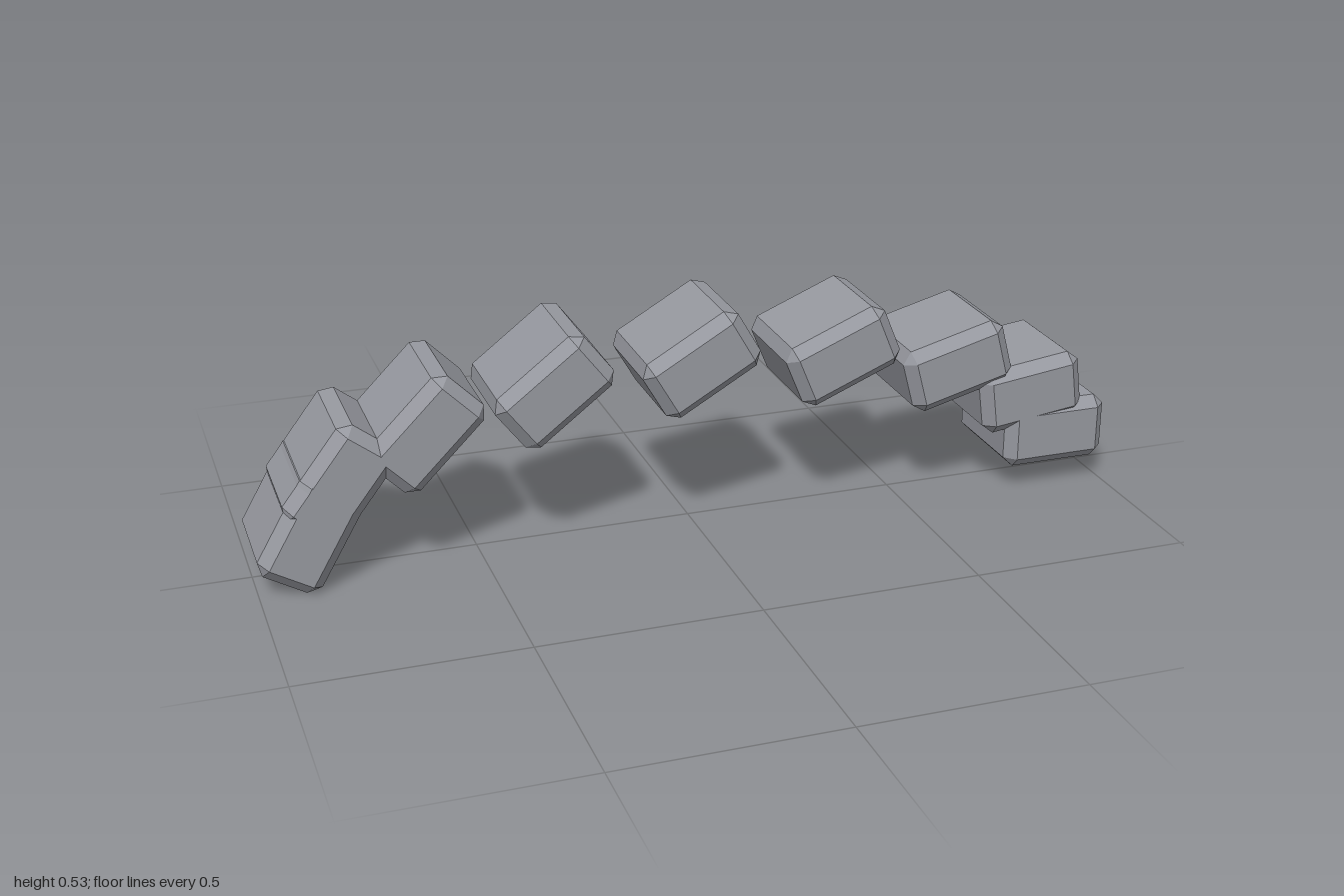
import * as THREE from 'three';
import { ConvexGeometry } from 'three/addons/geometries/ConvexGeometry.js';

// Box with every edge cut by a flat chamfer; arguments are half sizes
function chamferedBox(w, h, d, c) {
  const points = [];
  for (const x of [-1, 1]) for (const y of [-1, 1]) for (const z of [-1, 1]) {
    points.push(
      new THREE.Vector3(x * w, y * (h - c), z * (d - c)),
      new THREE.Vector3(x * (w - c), y * h, z * (d - c)),
      new THREE.Vector3(x * (w - c), y * (h - c), z * d)
    );
  }
  return new ConvexGeometry(points);
}

export function createModel() {
  const model = new THREE.Group();
  model.name = 'stoneArch';
  const material = new THREE.MeshStandardMaterial({ color: 0x96989f, flatShading: true });
  const geometry = chamferedBox(0.127, 0.078, 0.137, 0.025);

  // Blocks spaced evenly around half an ellipse, each tilted a little further
  const count = 9;
  for (let i = 0; i < count; i++) {
    const t = i / (count - 1);
    const block = new THREE.Mesh(geometry, material);
    block.name = `archBlock${i + 1}`;
    block.position.set(-0.004 + 0.877 * Math.cos(t * Math.PI), 0.1375 + 0.275 * Math.sin(t * Math.PI), 0);
    block.rotation.z = t * Math.PI / 3;
    model.add(block);
  }
  return model;
}
